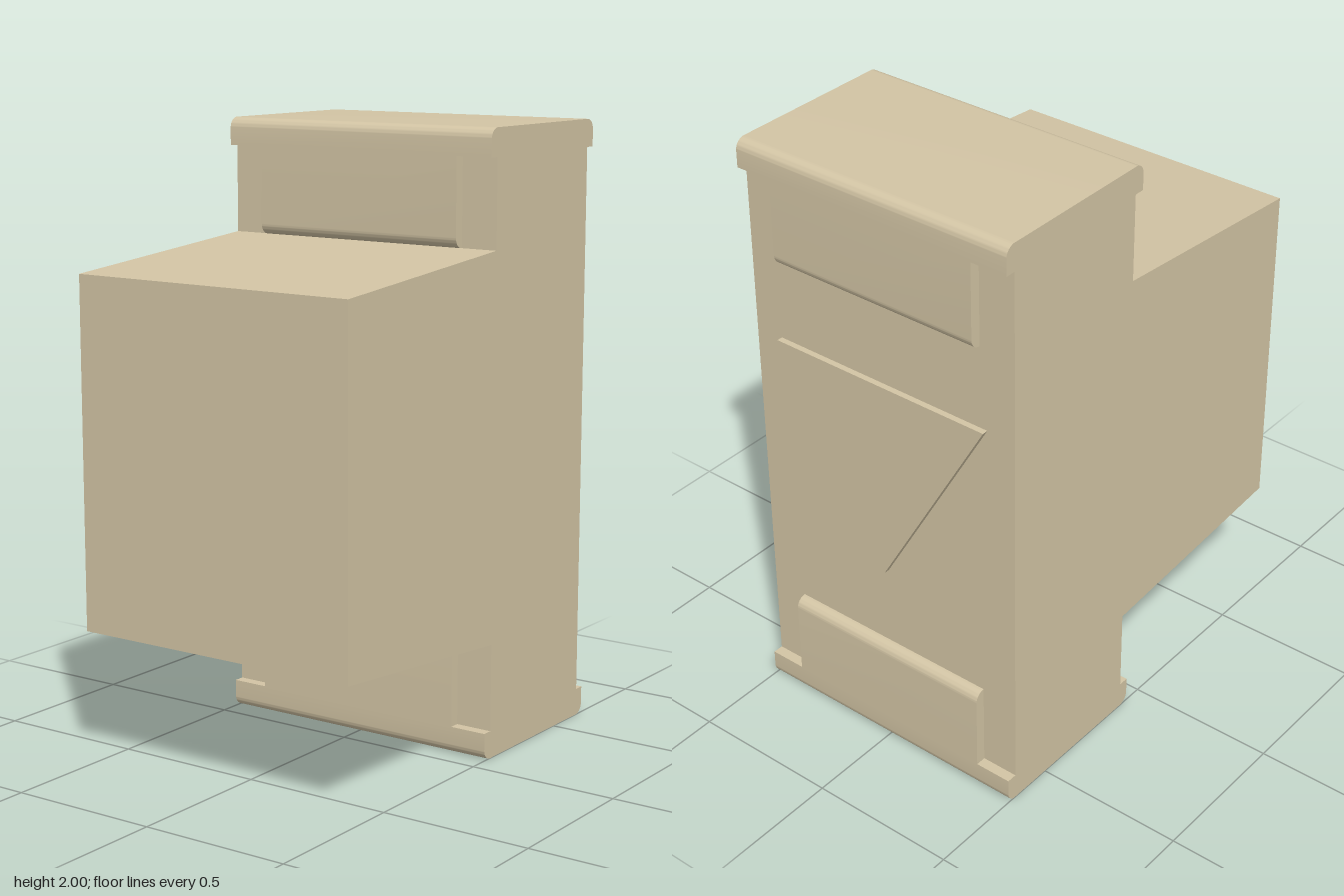
import * as THREE from 'three';
import { toCreasedNormals } from 'three/addons/utils/BufferGeometryUtils.js';

const material = new THREE.MeshStandardMaterial({ color: 0xd2c4a4 });
const BACK = -0.685, FRONT = -0.065; // depth range of the end clips
const R = 0.035;                     // clip edge rounding

// Extrudes a (z, y) profile along x, centred on x = 0.
function sideExtrude(name, shape, width) {
  const geo = new THREE.ExtrudeGeometry(shape, { depth: width, bevelEnabled: false, curveSegments: 8 });
  geo.rotateY(-Math.PI / 2);
  geo.translate(width / 2, 0, 0);
  const mesh = new THREE.Mesh(toCreasedNormals(geo, 0.5), material);
  mesh.name = name;
  return mesh;
}

// Rectangle in (z, y) with separately rounded bottom and top corners.
function clipProfile(y0, y1, rBottom, rTop) {
  const s = new THREE.Shape();
  s.moveTo(BACK + rBottom, y0);
  s.lineTo(FRONT - rBottom, y0);
  if (rBottom) s.absarc(FRONT - rBottom, y0 + rBottom, rBottom, -Math.PI / 2, 0);
  s.lineTo(FRONT, y1 - rTop);
  if (rTop) s.absarc(FRONT - rTop, y1 - rTop, rTop, 0, Math.PI / 2);
  s.lineTo(BACK + rTop, y1);
  if (rTop) s.absarc(BACK + rTop, y1 - rTop, rTop, Math.PI / 2, Math.PI);
  s.lineTo(BACK, y0 + rBottom);
  if (rBottom) s.absarc(BACK + rBottom, y0 + rBottom, rBottom, Math.PI, Math.PI * 1.5);
  return s;
}

// T-shaped end clip: full-width cap with a narrower tongue, measured from mid-height.
function endClip(name) {
  const clip = new THREE.Group();
  clip.name = name;
  clip.add(
    sideExtrude('clipCap', clipProfile(0.91, 1, 0, R), 1),
    sideExtrude('clipTongue', clipProfile(0.625, 0.91, R, 0), 0.75)
  );
  clip.position.y = 1;
  return clip;
}

export function createModel() {
  const model = new THREE.Group();
  model.name = 'housingModule';

  // Main housing: tall rear plate with a tapered block projecting forward
  const half = [[-0.65, 0.91], [-0.10, 0.91], [-0.10, 0.625], [0.685, 0.562]];
  const outline = [...half, ...half.map(([z, y]) => [z, -y]).reverse()]
    .map(([z, y]) => new THREE.Vector2(z, 1 + y));
  model.add(sideExtrude('housing', new THREE.Shape(outline), 1));

  // Matching clips at the top and bottom
  const bottom = endClip('bottomClip');
  bottom.rotation.z = Math.PI;
  model.add(endClip('topClip'), bottom);

  // Raised triangle on the back, pointing down
  const tri = new THREE.Shape([
    new THREE.Vector2(-0.4, 1.35), new THREE.Vector2(0, 0.657), new THREE.Vector2(0.4, 1.35)
  ]);
  const triangle = new THREE.Mesh(
    new THREE.ExtrudeGeometry(tri, { depth: 0.02, bevelEnabled: false }), material);
  triangle.name = 'backTriangle';
  triangle.position.z = -0.67;
  model.add(triangle);

  return model;
}
